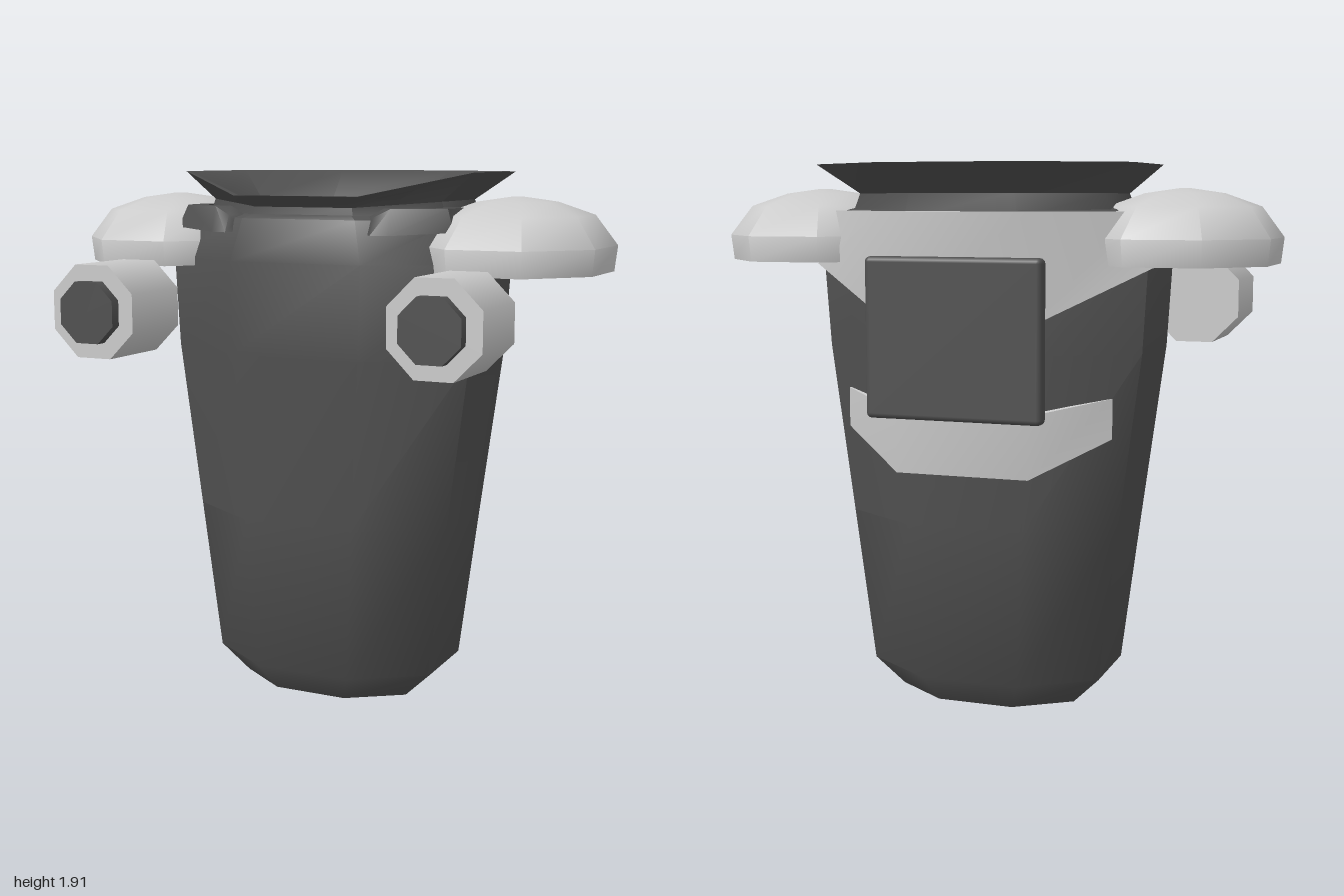
import * as THREE from 'three';
import { toCreasedNormals } from 'three/addons/utils/BufferGeometryUtils.js';
import { RoundedBoxGeometry } from 'three/addons/geometries/RoundedBoxGeometry.js';

const light = new THREE.MeshStandardMaterial({ color: 0xcccccc, side: THREE.DoubleSide });
const dark = new THREE.MeshStandardMaterial({ color: 0x505050, side: THREE.DoubleSide });

// Skin between rings of [x, y, z] points, optionally capped at the ends
function loft(rings, { capStart = false, capEnd = false, crease = 1 } = {}) {
  const n = rings[0].length;
  const pos = rings.flat(2);
  const idx = [];
  for (let i = 0; i < rings.length - 1; i++) {
    for (let j = 0; j < n; j++) {
      const k = (j + 1) % n;
      const a = i * n + j, b = i * n + k, c = b + n, d = a + n;
      idx.push(a, b, c, a, c, d);
    }
  }
  const cap = (i, flip) => {
    const centre = pos.length / 3;
    for (let c = 0; c < 3; c++) pos.push(rings[i].reduce((s, p) => s + p[c], 0) / n);
    for (let j = 0; j < n; j++) {
      const a = i * n + j, b = i * n + (j + 1) % n;
      idx.push(centre, flip ? b : a, flip ? a : b);
    }
  };
  if (capStart) cap(0, true);
  if (capEnd) cap(rings.length - 1, false);
  const g = new THREE.BufferGeometry();
  g.setAttribute('position', new THREE.Float32BufferAttribute(pos, 3));
  g.setIndex(idx);
  return toCreasedNormals(g, crease);
}

// Eight-sided ring, anticlockwise from above; the front edge may be lower
function octagon(y, halfX, zFront, zBack, { cx = 0, fx = 0.42, fz = 0.48, yFront = y } = {}) {
  const m = (zFront + zBack) / 2, h = (zFront - zBack) / 2;
  const u = halfX * fx, v = h * fz;
  return [
    [cx + halfX, y, m + v], [cx + halfX, y, m - v], [cx + u, y, zBack], [cx - u, y, zBack],
    [cx - halfX, y, m - v], [cx - halfX, y, m + v], [cx - u, yFront, zFront], [cx + u, yFront, zFront],
  ];
}

// Solid strap: each station is [x, z, yBottom, yTop, leanX, leanZ], thickened toward the body axis
function strap(stations, t) {
  const rings = stations.map(([x, z, y0, y1, lx = 0, lz = 0]) => {
    const l = Math.hypot(x, z + 0.09), dx = (x / l) * t, dz = ((z + 0.09) / l) * t;
    return [
      [x, y0, z], [x + lx, y1, z + lz],
      [x + lx - dx, y1, z + lz - dz], [x - dx, y0, z - dz],
    ];
  });
  return loft(rings, { capStart: true, capEnd: true, crease: 0.9 });
}
const flipX = ([x, z, y0, y1, lx = 0, lz = 0]) => [-x, z, y0, y1, -lx, lz];
const mirrored = (half) => [...half, ...half.map(flipX).reverse()];

export function createModel() {
  const group = new THREE.Group();
  const add = (name, geometry, material, parent = group) => {
    const mesh = new THREE.Mesh(geometry, material);
    mesh.name = name;
    parent.add(mesh);
    return mesh;
  };

  // Tapered hollow body with bevelled foot and drawn-in top
  add('body', loft([
    octagon(0.05, 0.29, 0.13, -0.31),
    octagon(0, 0.33, 0.17, -0.34),
    octagon(0.1, 0.43, 0.24, -0.41),
    octagon(0.66, 0.5, 0.27, -0.44),
    octagon(1.27, 0.58, 0.29, -0.46),
    octagon(1.6, 0.6, 0.29, -0.47),
    octagon(1.75, 0.52, 0.26, -0.47),
    octagon(1.77, 0.42, 0.21, -0.41),
  ]), dark);

  // Flared collar, lower at the front
  add('collar', loft([
    octagon(1.73, 0.48, 0.23, -0.47),
    octagon(1.81, 0.45, 0.22, -0.46, { yFront: 1.79 }),
    octagon(1.91, 0.57, 0.285, -0.62, { yFront: 1.83 }),
    octagon(1.905, 0.545, 0.265, -0.59, { yFront: 1.83 }),
    octagon(1.81, 0.41, 0.2, -0.39, { yFront: 1.79 }),
    octagon(1.75, 0.39, 0.2, -0.38),
  ]), dark);

  // Yoke wrapping the sides and back
  add('yoke', strap(mirrored([
    [0.615, 0.1, 1.57, 1.75, -0.07, 0],
    [0.615, -0.29, 1.56, 1.75, -0.06, -0.01],
    [0.27, -0.485, 1.38, 1.75, -0.01, -0.045],
  ]), 0.08), light);

  // Strap low on the back
  add('backStrap', strap(mirrored([
    [0.49, -0.31, 0.98, 1.12],
    [0.24, -0.47, 0.85, 1.07, 0, -0.02],
  ]), 0.04), light);

  // Back panel and its mount
  add('backPanel', new RoundedBoxGeometry(0.63, 0.55, 0.06, 2, 0.018), dark)
    .position.set(0, 1.325, -0.53);
  add('panelMount', new THREE.BoxGeometry(0.5, 0.24, 0.06), light)
    .position.set(0, 1.37, -0.485);

  for (const [side, s] of [['left', 1], ['right', -1]]) {
    // Domed shoulder pad
    const cx = 0.68 * s;
    const ring = (y, k) => octagon(y, 0.32 * k, -0.09 + 0.35 * k, -0.09 - 0.35 * k, { cx, fz: 0.41 });
    add(side + 'ShoulderPad', loft([
      ring(1.57, 0.97), ring(1.66, 1), ring(1.765, 0.77), ring(1.81, 0.4), ring(1.827, 0.06),
    ], { capStart: true, capEnd: true }), light);

    // Front strap end beside the collar
    const front = [
      [0.28, 0.275, 1.7, 1.76, 0, -0.03],
      [0.34, 0.265, 1.7, 1.79, 0, -0.03],
      [0.54, 0.16, 1.71, 1.79, -0.03, -0.02],
      [0.57, 0.02, 1.71, 1.79, -0.05, 0],
    ];
    add(side + 'FrontStrap', strap(s > 0 ? front : front.map(flipX), 0.06), dark);

    // Lamp with a dark lens
    const lamp = new THREE.Group();
    lamp.name = side + 'Lamp';
    lamp.position.set(0.64 * s, 1.43, 0);
    group.add(lamp);
    const drum = (name, halfWidth, z0, z1, material) => {
      const r = halfWidth / Math.cos(Math.PI / 8);
      const g = new THREE.CylinderGeometry(r, r, z1 - z0, 8).rotateY(Math.PI / 8).rotateX(Math.PI / 2);
      add(name, g, material, lamp).position.z = (z0 + z1) / 2;
    };
    drum('lampHousing', 0.163, 0.28, 0.58, light);
    drum('lampLens', 0.107, 0.57, 0.62, dark);
  }
  return group;
}
